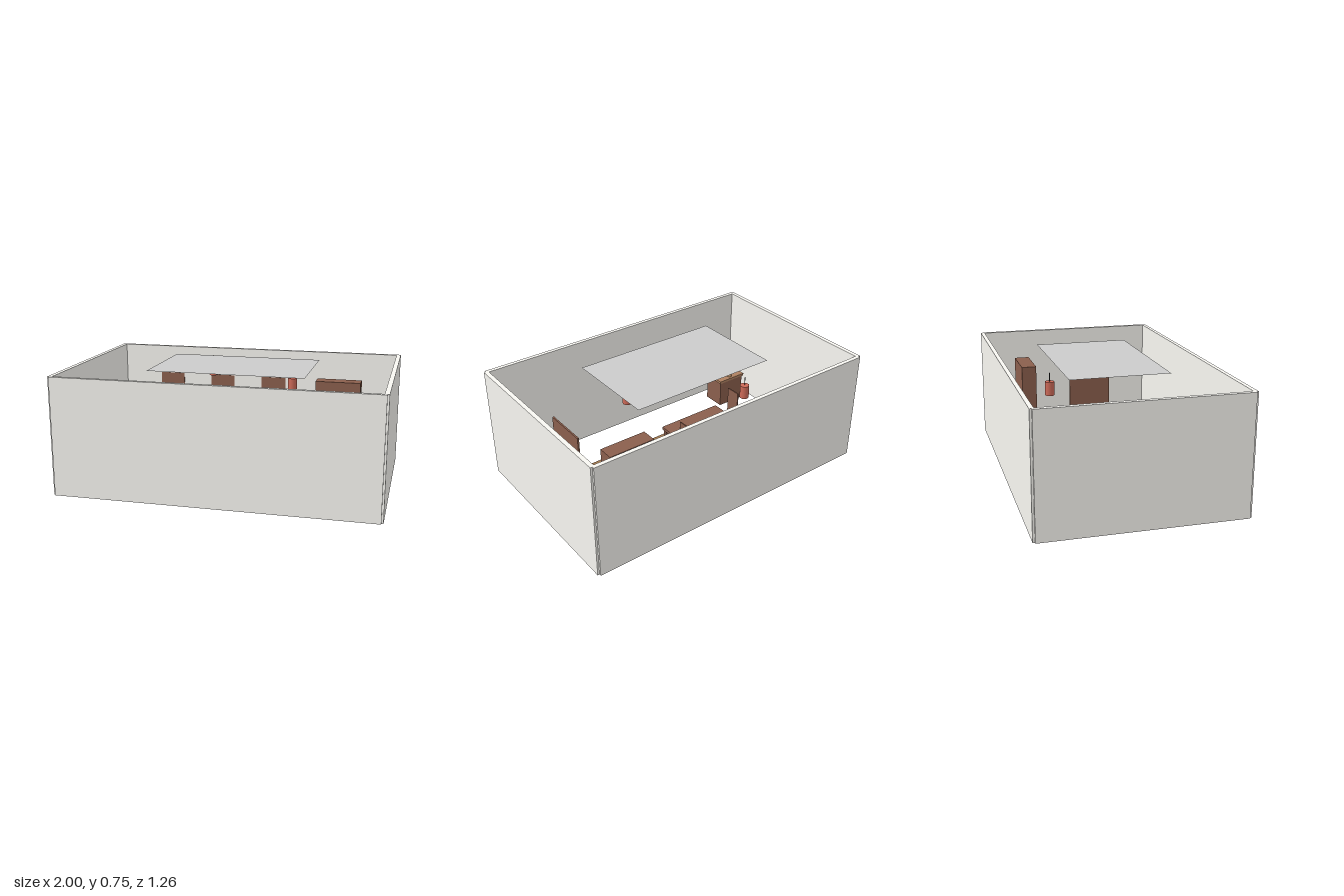
import * as THREE from 'three';

const mat = (color, opts = {}) => new THREE.MeshStandardMaterial({ color, ...opts });
const wallPaint = mat(0xf8f7f2);
const brown = mat(0x8b5f4d);
const tan = mat(0xae8060);
const doorWood = mat(0xbe9468);
const potClay = mat(0xc89b70);
const red = mat(0xce6a58);
const green = mat(0x82bb77);
const silver = mat(0xc4c4c4);
const dark = mat(0x333333);
const ceilingPaint = mat(0xf8f8f6, { side: THREE.DoubleSide });
const rugBrown = mat(0x9f764e, { side: THREE.DoubleSide });

export function createModel() {
  const model = new THREE.Group();

  const add = (name, geometry, material, x, y, z, parent = model) => {
    const mesh = new THREE.Mesh(geometry, material);
    mesh.name = name;
    mesh.position.set(x, y, z);
    parent.add(mesh);
    return mesh;
  };
  // Box given by its extents on each axis
  const box = (name, material, [x0, x1], [y0, y1], [z0, z1], parent) =>
    add(name, new THREE.BoxGeometry(x1 - x0, y1 - y0, z1 - z0), material,
      (x0 + x1) / 2, (y0 + y1) / 2, (z0 + z1) / 2, parent);
  const cylinder = (name, material, r, y0, y1, x, z, parent) =>
    add(name, new THREE.CylinderGeometry(r, r, y1 - y0, 24), material, x, (y0 + y1) / 2, z, parent);
  const ball = (name, material, r, x, y, z, parent) =>
    add(name, new THREE.SphereGeometry(r, 24, 16), material, x, y, z, parent);
  const sheet = (name, material, y) => {
    const geometry = new THREE.PlaneGeometry(0.98, 0.615).rotateX(-Math.PI / 2);
    return add(name, geometry, material, 0, y, 0);
  };
  const group = (name) => {
    const g = new THREE.Group();
    g.name = name;
    model.add(g);
    return g;
  };

  // Open room: four walls overlapping at the corners
  const wallY = [0.015, 0.755];
  box('frontWall', wallPaint, [-0.988, 0.988], wallY, [0.602, 0.628]);
  box('backWall', wallPaint, [-0.988, 0.988], wallY, [-0.628, -0.602]);
  box('leftWall', wallPaint, [0.972, 1], wallY, [-0.615, 0.615]);
  box('rightWall', wallPaint, [-1, -0.972], wallY, [-0.615, 0.615]);
  // Door set inside the left wall
  box('door', doorWood, [0.974, 0.986], [0, 0.5], [0.125, 0.37]);

  // Ceiling panel and rug
  sheet('ceilingPanel', ceilingPaint, 0.754);
  sheet('rug', rugBrown, 0.017);

  // Pictures on the back wall
  for (const x of [-0.62, -0.245, 0.125])
    box('wallPicture', brown, [x - 0.087, x + 0.087], [0.365, 0.56], [-0.606, -0.6]);
  ball('wallKnob', dark, 0.004, 0.367, 0.25, -0.583);

  // Bookcase and standing board
  box('bookcase', brown, [0.465, 0.762], [0.025, 0.607], [-0.42, -0.322]);
  box('standingBoard', brown, [0.731, 0.742], [0.1, 0.51], [-0.028, 0.27]);
  box('sideShelf', brown, [0.787, 0.932], [0.07, 0.11], [0.2, 0.295]);

  // Low table with a tray and small balls
  const low = group('lowTable');
  box('tableTop', brown, [0.54, 0.835], [0.03, 0.055], [0.295, 0.59], low);
  box('tray', wallPaint, [0.618, 0.757], [0.055, 0.065], [0.374, 0.513], low);
  for (const [x, z, r] of [[0.64, 0.417, 0.018], [0.737, 0.392, 0.016], [0.712, 0.492, 0.014], [0.661, 0.467, 0.009]])
    ball('trayBall', silver, r, x, 0.065 + r, z, low);

  // Counter with a cup and a small box
  const counter = group('counter');
  box('counterBody', brown, [-0.89, -0.69], [0.018, 0.205], [0.365, 0.518], counter);
  box('counterTop', tan, [-0.9, -0.68], [0.205, 0.222], [0.357, 0.527], counter);
  cylinder('cup', potClay, 0.018, 0.222, 0.26, -0.793, 0.392, counter);
  box('smallBox', potClay, [-0.82, -0.765], [0.222, 0.262], [0.459, 0.514], counter);

  // Potted plants in the corners
  for (const [x, z] of [[-0.865, -0.495], [0.86, -0.495], [-0.865, 0.492]]) {
    const plant = group('plant');
    cylinder('pot', potClay, 0.025, 0.018, 0.085, x, z, plant);
    ball('leaves', green, 0.043, x, 0.114, z, plant);
  }

  // Hanging lamps
  for (const [x, z] of [[-0.25, -0.373], [0.365, 0]]) {
    const lamp = group('hangingLamp');
    cylinder('lampCord', dark, 0.002, 0.69, 0.745, x, z, lamp);
    cylinder('lampShade', red, 0.028, 0.607, 0.69, x, z, lamp);
  }

  // Table on the rug, with an upright panel on it
  const table = group('table');
  box('tableTop', brown, [-0.46, 0], [0.19, 0.21], [-0.145, 0.145], table);
  box('tablePanel', brown, [-0.084, -0.076], [0.21, 0.27], [-0.05, 0.05], table);
  for (const x of [-0.44, -0.02])
    for (const z of [-0.125, 0.125])
      box('tableLeg', brown, [x - 0.012, x + 0.012], [0.018, 0.19], [z - 0.012, z + 0.012], table);

  // Chair at the end of the table
  const chair = group('chair');
  box('seat', brown, [-0.495, -0.395], [0.13, 0.145], [-0.05, 0.05], chair);
  box('backrest', brown, [-0.495, -0.487], [0.145, 0.385], [-0.05, 0.05], chair);
  for (const x of [-0.485, -0.405])
    for (const z of [-0.04, 0.04])
      box('chairLeg', brown, [x - 0.006, x + 0.006], [0.018, 0.13], [z - 0.006, z + 0.006], chair);

  return model;
}
